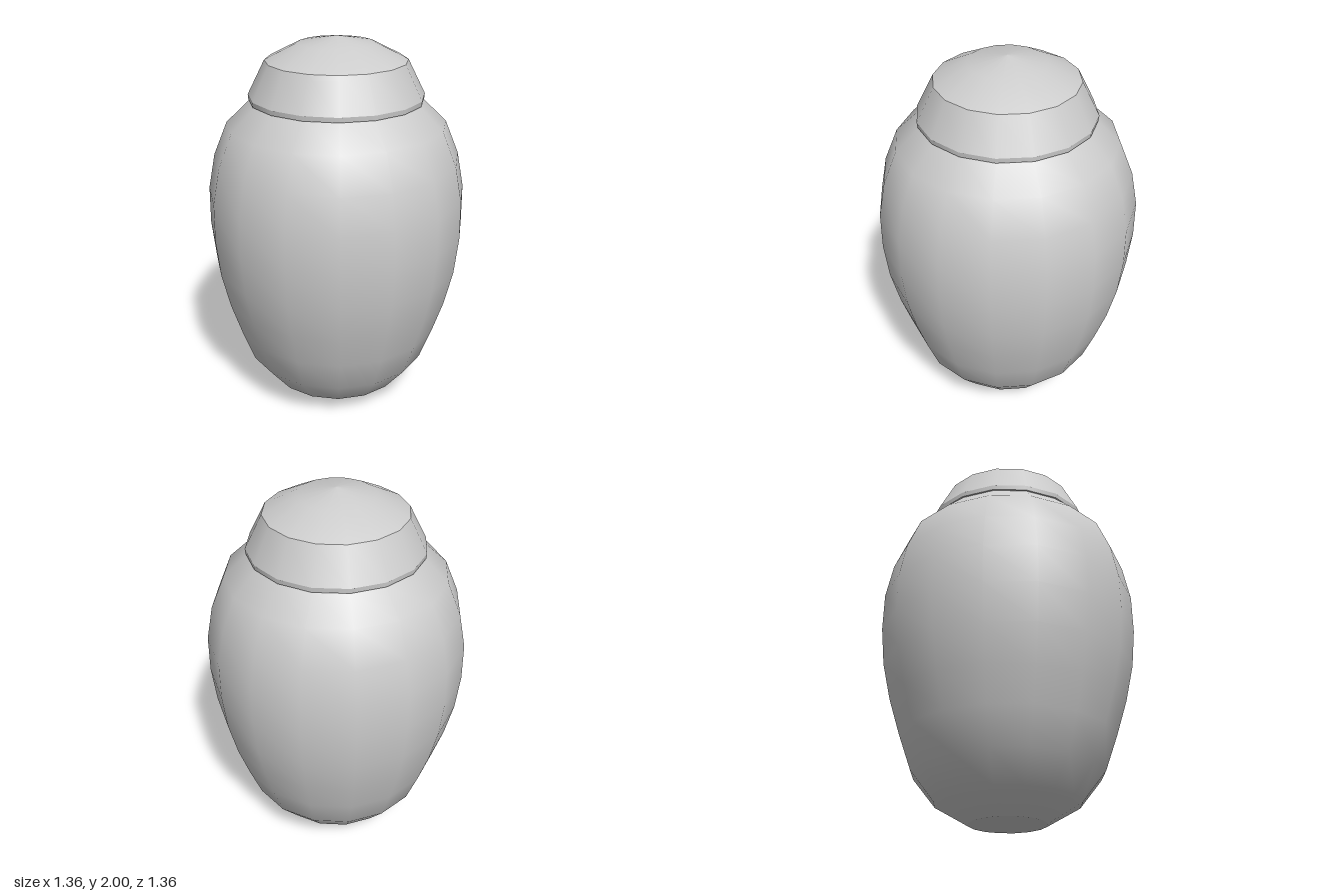
import * as THREE from 'three';

export function createModel() {
  const group = new THREE.Group();
  const grey = new THREE.MeshStandardMaterial({ color: 0xcccccc });
  grey.name = 'plain grey';

  // Each smooth band is its own 16-sided lathe, so the edges between bands stay sharp
  const lathe = (name, profile, parent) => {
    const points = profile.map(([r, y]) => new THREE.Vector2(r, y));
    const mesh = new THREE.Mesh(new THREE.LatheGeometry(points, 16), grey);
    mesh.name = name;
    parent.add(mesh);
  };

  // Egg-shaped jar
  const jar = new THREE.Group();
  jar.name = 'jar';
  lathe('base', [[0, 0], [0.2, 0]], jar);
  lathe('body', [
    [0.2, 0], [0.375, 0.1], [0.495, 0.25], [0.56, 0.43], [0.617, 0.61], [0.66, 0.8],
    [0.68, 1.0], [0.677, 1.2], [0.64, 1.385], [0.567, 1.56], [0.435, 1.685],
  ], jar);

  // Lid with a thin rim, sloping sides and a shallow dome
  const lid = new THREE.Group();
  lid.name = 'lid';
  lathe('lidUnderside', [[0.4, 1.68], [0.45, 1.68]], lid);
  lathe('lidRim', [[0.45, 1.68], [0.452, 1.705]], lid);
  lathe('lidSides', [[0.452, 1.705], [0.363, 1.88]], lid);
  lathe('lidDome', [[0.363, 1.88], [0.195, 1.965], [0, 2]], lid);

  group.add(jar, lid);
  return group;
}
